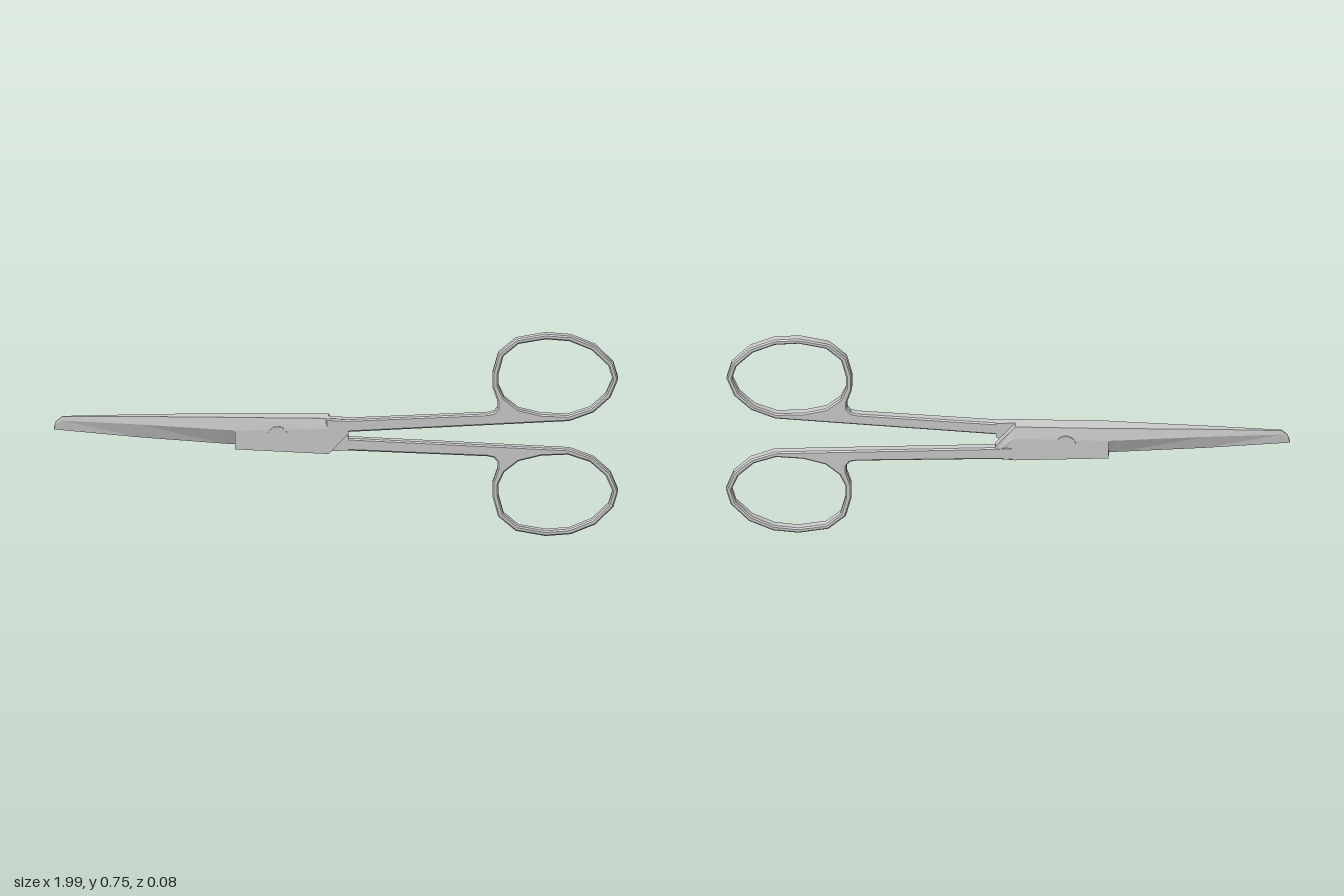
import * as THREE from 'three';
import { toCreasedNormals } from 'three/addons/utils/BufferGeometryUtils.js';

const steel = new THREE.MeshStandardMaterial({ color: 0xcccccc });
const MID = 0.381; // height the two handles mirror about
const THICK = 0.037;

// Loft along x. Each section: [x, bottom, ridge, top, zBottom, zRidge, zTop];
// side = 1 lies in front of z = 0, side = -1 behind it.
function loft(sections, side) {
  const rings = sections.map(([x, b, r, t, zb, zr, zt]) =>
    [[b, 0], [b, zb], [r, zr], [t, zt], [t, 0]].map(([y, z]) => [x, y, z * side]));
  const pos = [];
  const tri = (a, b, c) => pos.push(...(side > 0 ? [a, b, c] : [a, c, b]).flat());
  for (let i = 0; i < rings.length - 1; i++) {
    const p = rings[i], q = rings[i + 1];
    for (let j = 0; j < 5; j++) {
      const k = (j + 1) % 5;
      tri(p[j], q[j], p[k]);
      tri(q[j], q[k], p[k]);
    }
  }
  const first = rings[0], last = rings[rings.length - 1];
  for (let j = 1; j < 4; j++) {
    tri(first[0], first[j], first[j + 1]);
    tri(last[0], last[j + 1], last[j]);
  }
  const geo = new THREE.BufferGeometry();
  geo.setAttribute('position', new THREE.Float32BufferAttribute(pos, 3));
  geo.computeVertexNormals();
  return geo;
}

// Shank and finger ring cut from one bevelled plate
function handleGeometry() {
  const outline = [
    [-0.04, 0.392], [0.04, 0.398], [0.55, 0.424], [0.82, 0.438], [0.905, 0.47],
    [0.965, 0.525], [0.992, 0.592], [0.975, 0.65], [0.91, 0.715], [0.825, 0.75],
    [0.735, 0.757], [0.63, 0.738], [0.568, 0.685], [0.549, 0.615], [0.549, 0.56],
    [0.566, 0.51], [0.566, 0.485], [0.553, 0.469], [0.53, 0.464], [0.04, 0.443], [-0.04, 0.446],
  ];
  const hole = [
    [0.57, 0.612], [0.587, 0.676], [0.64, 0.721], [0.737, 0.738], [0.82, 0.731],
    [0.899, 0.698], [0.957, 0.641], [0.972, 0.592], [0.947, 0.535], [0.893, 0.485],
    [0.815, 0.458], [0.72, 0.462], [0.64, 0.482], [0.59, 0.522], [0.57, 0.565],
  ];
  const vec = (list) => list.map(([x, y]) => new THREE.Vector2(x, y - MID));
  const shape = new THREE.Shape(vec(outline));
  shape.holes.push(new THREE.Path(vec(hole)));
  const bevel = 0.005;
  const geo = new THREE.ExtrudeGeometry(shape, {
    depth: THICK - 2 * bevel, bevelThickness: bevel, bevelSize: bevel,
    bevelOffset: -bevel, bevelSegments: 1,
  });
  geo.translate(0, 0, bevel);
  return toCreasedNormals(geo, 0.6);
}

export function createModel() {
  const model = new THREE.Group();
  model.name = 'scissors';
  const add = (parent, name, geo) => {
    const mesh = new THREE.Mesh(geo, steel);
    mesh.name = name;
    parent.add(mesh);
    return mesh;
  };

  // Ridged blade tapering to a clipped tip
  const blade = [
    [-1, 0.398, 0.401, 0.405, 0.001, 0.002, 0.001],
    [-0.992, 0.397, 0.42, 0.428, 0.001, 0.003, 0.002],
    [-0.97, 0.395, 0.431, 0.446, 0.001, 0.005, 0.003],
    [-0.7, 0.37, 0.421, 0.449, 0.004, 0.019, 0.014],
    [-0.4, 0.348, 0.406, 0.45, 0.008, 0.034, 0.027],
    [-0.355, 0.345, 0.404, 0.45, 0.008, 0.036, 0.029],
  ];
  // Pivot block: the corner facing the other shank is cut away
  const block = {
    front: [
      [-0.36, 0.335, 0.404, 0.45, THICK, THICK, 0.03],
      [-0.03, 0.318, 0.41, 0.447, THICK, THICK, 0.03],
      [0.04, 0.392, 0.415, 0.443, THICK, THICK, 0.032],
    ],
    back: [
      [-0.36, 0.335, 0.404, 0.45, THICK, THICK, 0.03],
      [-0.03, 0.318, 0.404, 0.447, THICK, THICK, 0.03],
      [0.04, 0.32, 0.35, 0.37, 0.032, THICK, THICK],
    ],
  };

  const handleGeo = handleGeometry();
  for (const [name, side] of [['front', 1], ['back', -1]]) {
    const half = new THREE.Group();
    half.name = name + 'Half';
    add(half, name + 'Blade', loft(blade, side));
    add(half, name + 'PivotBlock', loft(block[name], side));
    const handle = add(half, name + 'Handle', handleGeo);
    handle.position.y = MID;
    if (side < 0) handle.rotation.x = Math.PI;
    model.add(half);
  }

  // Pivot pin, its heads just proud of both blocks
  const pin = add(model, 'pivotPin', new THREE.CylinderGeometry(0.036, 0.036, 0.079, 24));
  pin.rotation.x = Math.PI / 2;
  pin.position.set(-0.21, 0.383, 0);
  return model;
}
